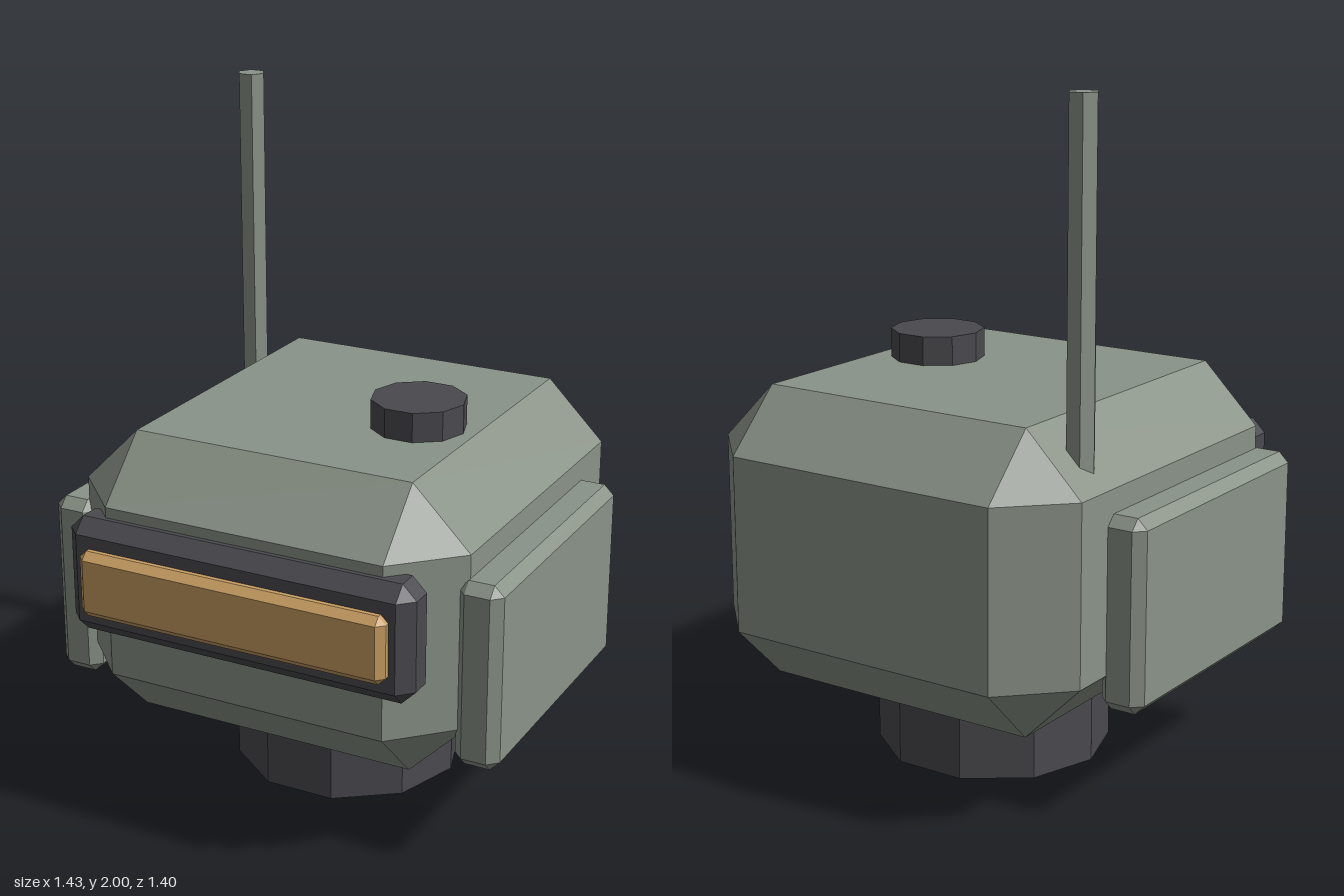
import * as THREE from 'three';
import { ConvexGeometry } from 'three/addons/geometries/ConvexGeometry.js';

const material = (name, color) => {
  const m = new THREE.MeshStandardMaterial({ color, flatShading: true });
  m.name = name;
  return m;
};

// Box with 45 degree chamfered edges and triangular corners
function chamferBox(w, h, d, c) {
  const points = [];
  const half = [w / 2, h / 2, d / 2];
  for (const sx of [-1, 1]) for (const sy of [-1, 1]) for (const sz of [-1, 1]) {
    const s = [sx, sy, sz];
    // one point per face meeting at this corner
    for (let axis = 0; axis < 3; axis++) {
      points.push(new THREE.Vector3(...half.map((v, i) => s[i] * (i === axis ? v : v - c))));
    }
  }
  return new ConvexGeometry(points);
}

// Faceted upright cylinder with a corner on the x axis
function prism(radius, y0, y1, sides) {
  return new THREE.CylinderGeometry(radius, radius, y1 - y0, sides)
    .rotateY(Math.PI / 2)
    .translate(0, (y0 + y1) / 2, 0);
}

export function createModel() {
  const group = new THREE.Group();
  group.name = 'robotHead';
  const shell = material('greyGreenShell', 0x8a9388);
  const dark = material('darkRubber', 0x4a494e);
  const amber = material('amberGlass', 0xc99f62);

  const add = (name, geometry, mat, x, y, z) => {
    const mesh = new THREE.Mesh(geometry, mat);
    mesh.name = name;
    mesh.position.set(x, y, z);
    group.add(mesh);
  };

  // Head and neck
  add('head', chamferBox(1.22, 0.87, 1.31, 0.175), shell, 0, 0.695, -0.045);
  add('neck', prism(0.348, 0, 0.3, 10), dark, 0, 0, -0.045);

  // Side pads
  for (const side of [-1, 1]) {
    add(side > 0 ? 'leftEarPad' : 'rightEarPad',
      chamferBox(0.135, 0.555, 0.87, 0.03), shell, side * 0.647, 0.608, 0.04);
  }

  // Visor and its frame
  add('visorFrame', chamferBox(1.085, 0.35, 0.145, 0.042), dark, 0, 0.749, 0.594);
  add('visor', chamferBox(0.96, 0.2, 0.09, 0.022), amber, 0, 0.745, 0.657);

  // Knob and antenna on top
  add('topKnob', prism(0.14, 1.08, 1.217, 10), dark, 0.261, 0, 0.035);
  add('antenna', prism(0.043, 0.94, 2, 6), shell, -0.525, 0, -0.4);

  return group;
}
